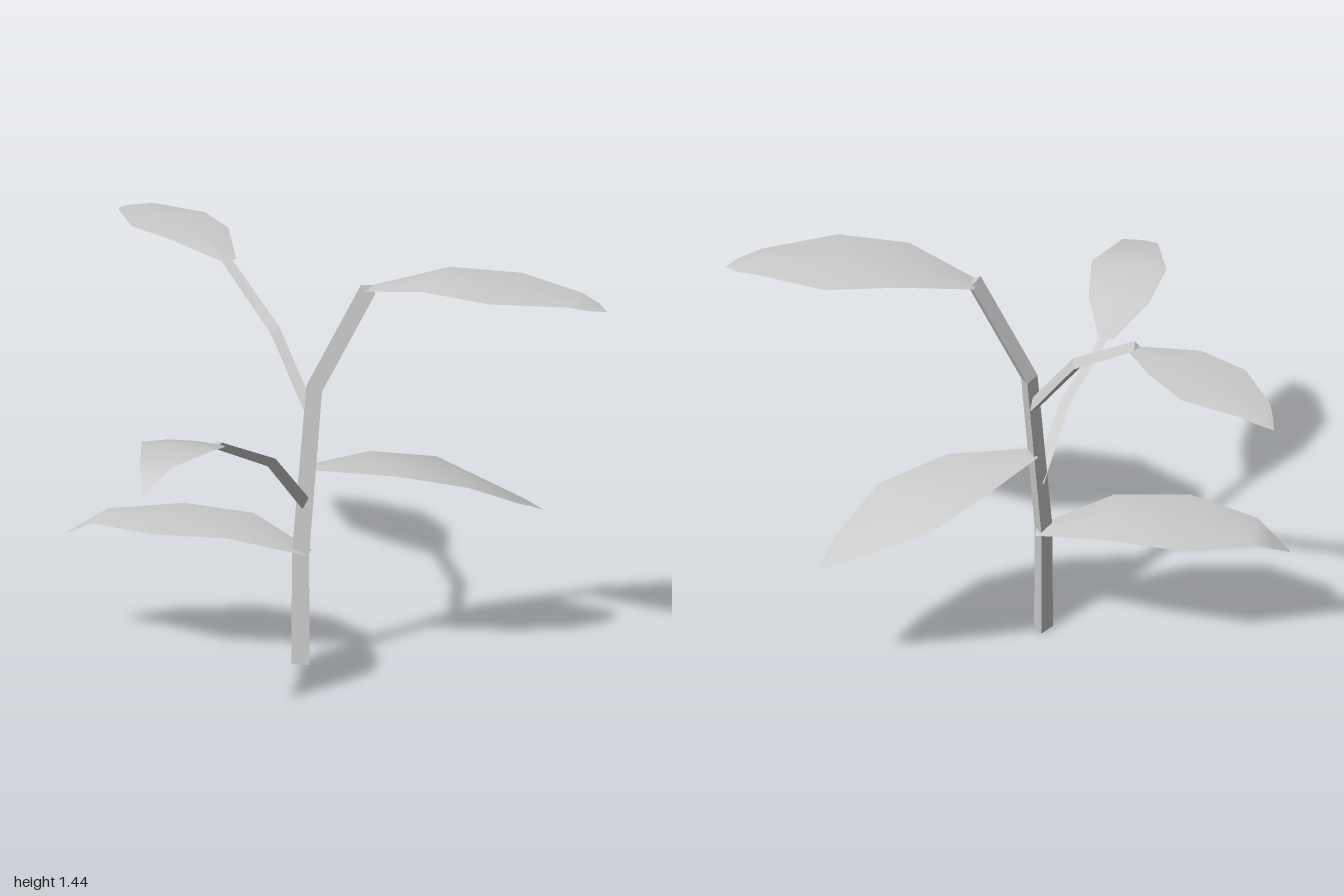
import * as THREE from 'three';

const V = (p) => new THREE.Vector3(...p);
const grey = { color: 0xcccccc };
const stemMaterial = new THREE.MeshStandardMaterial({ ...grey, flatShading: true });
const leafMaterial = new THREE.MeshStandardMaterial({ ...grey, side: THREE.DoubleSide });

function buildMesh(name, positions, index, material) {
  const geometry = new THREE.BufferGeometry();
  geometry.setAttribute('position', new THREE.Float32BufferAttribute(positions, 3));
  geometry.setIndex(index);
  geometry.computeVertexNormals();
  const mesh = new THREE.Mesh(geometry, material);
  mesh.name = name;
  return mesh;
}

// Three-sided stalk swept along a path; one flat side faces the given direction
function stalk(name, path, radii, facing) {
  const pts = path.map(V), positions = [], index = [], last = pts.length - 1;
  pts.forEach((p, i) => {
    const before = p.clone().sub(pts[Math.max(i - 1, 0)]).normalize();
    const after = pts[Math.min(i + 1, last)].clone().sub(p).normalize();
    const t = before.add(after).normalize();
    const n = V(facing).addScaledVector(t, -V(facing).dot(t)).normalize();
    const b = t.clone().cross(n);
    for (let k = 0; k < 3; k++) {
      const a = Math.PI / 3 + k * Math.PI * 2 / 3;
      const v = p.clone().addScaledVector(n, Math.cos(a) * radii[i]).addScaledVector(b, Math.sin(a) * radii[i]);
      positions.push(v.x, v.y, v.z);
    }
  });
  for (let i = 0; i < last; i++) {
    for (let k = 0; k < 3; k++) {
      const a = i * 3 + k, b = i * 3 + (k + 1) % 3;
      index.push(a, b, b + 3, a, b + 3, a + 3);
    }
  }
  const e = last * 3;
  index.push(0, 2, 1, e, e + 1, e + 2);
  return buildMesh(name, positions, index, stemMaterial);
}

// Thin leaf along a midrib, its edges a little lower than the middle
const halfWidths = [0.035, 0.15, 0.185, 0.087, 0.046, 0.002];
function leaf(name, midrib, scale) {
  const pts = midrib.map(V), positions = [], index = [];
  const dir = pts[5].clone().sub(pts[0]);
  const side = new THREE.Vector3(-dir.z, 0, dir.x).normalize();
  pts.forEach((p, i) => {
    const w = halfWidths[i] * scale;
    for (const s of [-1, 0, 1]) {
      positions.push(p.x + side.x * w * s, p.y - Math.abs(s) * w * 0.08, p.z + side.z * w * s);
    }
  });
  for (let i = 0; i < 5; i++) {
    for (let k = 0; k < 2; k++) {
      const a = i * 3 + k;
      index.push(a, a + 1, a + 4, a, a + 4, a + 3);
    }
  }
  return buildMesh(name, positions, index, leafMaterial);
}

export function createModel() {
  const plant = new THREE.Group();
  plant.name = 'plant';

  // Main stem and two side branches
  plant.add(
    stalk('mainStem', [[-0.102, 0, -0.164], [-0.102, 0.4, -0.164], [-0.053, 1, -0.164], [0.142, 1.378, -0.164]],
      [0.0375, 0.036, 0.034, 0.034], [0, 0, 1]),
    stalk('backBranch', [[-0.07, 0.9, -0.18], [-0.235, 1.15, -0.29], [-0.465, 1.335, -0.45]],
      [0.024, 0.024, 0.022], [0, 0, 1]),
    stalk('frontBranch', [[-0.09, 0.58, -0.16], [-0.155, 0.785, 0.03], [-0.262, 0.91, 0.28]],
      [0.024, 0.022, 0.018], [0, 1, 0]),
  );

  // Leaves, each listed from base to tip
  plant.add(
    leaf('topLeaf', [[0.13, 1.375, -0.1725], [0.38, 1.442, -0.1725], [0.63, 1.437, -0.1725],
      [0.88, 1.412, -0.1725], [0.955, 1.39, -0.1725], [0.995, 1.375, -0.1725]], 1),
    leaf('lowLeaf', [[-0.08, 0.4, -0.1725], [-0.33, 0.482, -0.1725], [-0.59, 0.484, -0.1725],
      [-0.835, 0.462, -0.1725], [-0.9, 0.42, -0.1725], [-0.96, 0.38, -0.1725]], 1),
    leaf('middleLeaf', [[-0.07, 0.71, -0.17], [0.14, 0.707, -0.32], [0.34, 0.652, -0.475],
      [0.52, 0.54, -0.585], [0.565, 0.51, -0.62], [0.61, 0.475, -0.65]], 1),
    leaf('frontLeaf', [[-0.262, 0.91, 0.28], [-0.285, 0.972, 0.45], [-0.3, 1.013, 0.62],
      [-0.315, 0.995, 0.8], [-0.32, 0.96, 0.855], [-0.325, 0.915, 0.91]], 0.71),
    leaf('backLeaf', [[-0.46, 1.33, -0.455], [-0.615, 1.378, -0.59], [-0.765, 1.378, -0.715],
      [-0.925, 1.363, -0.845], [-0.965, 1.345, -0.885], [-1, 1.325, -0.915]], 0.8),
  );
  return plant;
}
